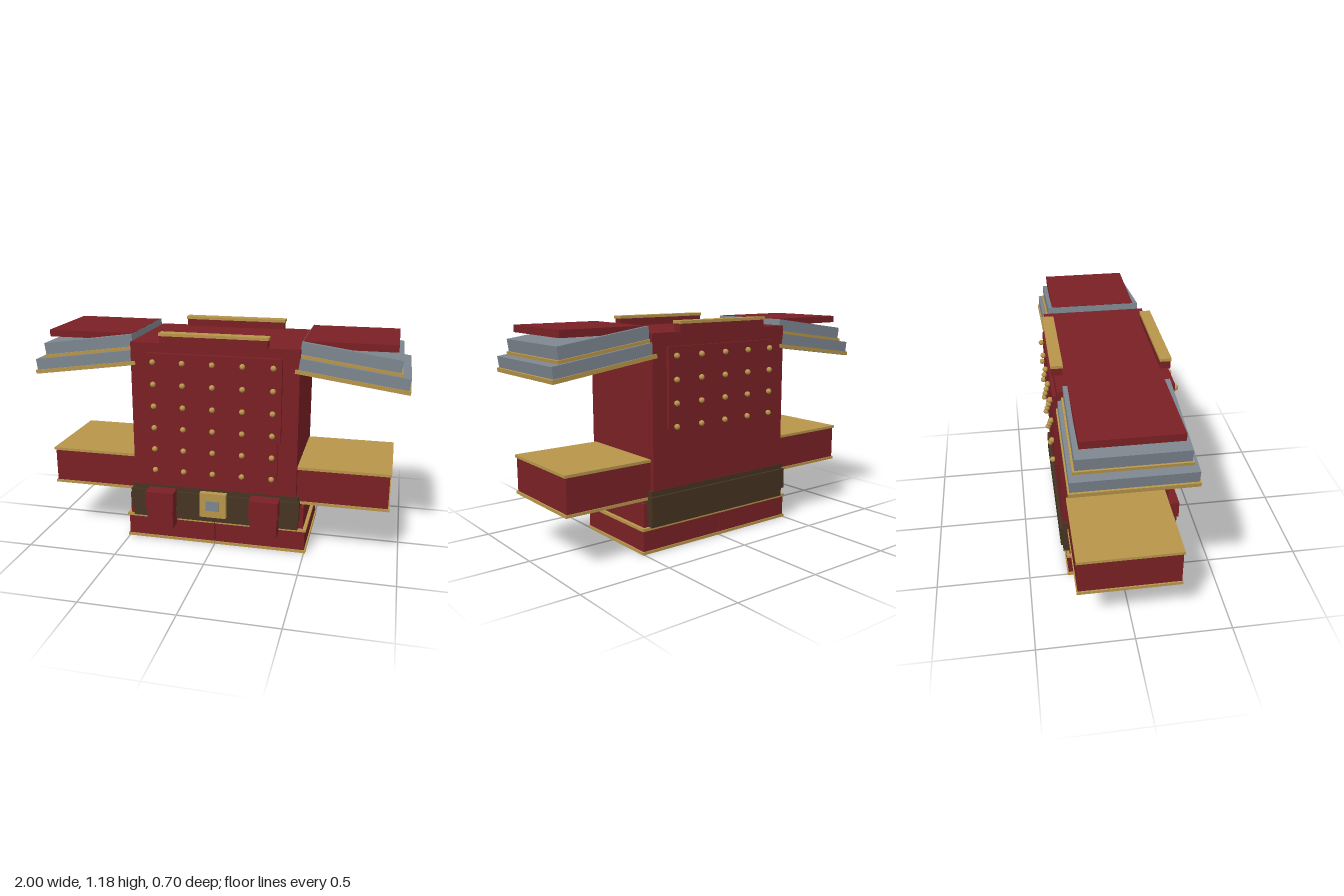
import * as THREE from 'three';

const mat = (name, color) => {
  const m = new THREE.MeshStandardMaterial({ color });
  m.name = name;
  return m;
};

export function createModel() {
  const red = mat('dark red', 0x7a2024);
  const gold = mat('gold', 0xb8964a);
  const grey = mat('steel grey', 0x7c858f);
  const brown = mat('belt brown', 0x463422);
  const model = new THREE.Group();
  model.name = 'armouredTorso';

  // Box given by its limits on each axis
  const box = (name, material, [x0, x1], [y0, y1], [z0, z1], parent = model) => {
    const mesh = new THREE.Mesh(new THREE.BoxGeometry(x1 - x0, y1 - y0, z1 - z0), material);
    mesh.position.set((x0 + x1) / 2, (y0 + y1) / 2, (z0 + z1) / 2);
    mesh.name = name;
    parent.add(mesh);
    return mesh;
  };
  // Limits along x for a part on side s (+1 left, -1 right)
  const span = (s, a, b) => (s > 0 ? [a, b] : [-b, -a]);

  // Torso with chest, belly and back plates
  box('torso', red, [-0.45, 0.45], [0.3, 1.13], [-0.305, 0.265]);
  box('chestPlate', red, [-0.363, 0.363], [0.633, 1.08], [0.26, 0.287]);
  box('bellyPlate', red, [-0.347, 0.347], [0.42, 0.64], [0.26, 0.283]);
  box('backPlate', red, [-0.363, 0.363], [0.645, 1.06], [-0.322, -0.3]);

  // Rows of round studs, front and back
  const studGeometry = new THREE.SphereGeometry(0.015, 16, 12);
  const studs = (name, rows, top, z) => {
    const group = new THREE.Group();
    group.name = name;
    for (let r = 0; r < rows; r++) {
      for (let c = -2; c <= 2; c++) {
        const stud = new THREE.Mesh(studGeometry, gold);
        stud.name = 'stud';
        stud.position.set(c * 0.16, top - r * 0.12, z);
        group.add(stud);
      }
    }
    model.add(group);
  };
  studs('frontStuds', 6, 1.035, 0.299);
  studs('backStuds', 4, 1.015, -0.333);

  // Collar ridges along the front and back of the neck
  for (const [name, z0, z1] of [['frontCollar', 0.226, 0.277], ['backCollar', -0.318, -0.264]]) {
    box(name, red, [-0.285, 0.285], [1.125, 1.17], [z0, z1]);
    box(name + 'Trim', gold, [-0.29, 0.29], [1.17, 1.185], [z0 - 0.004, z1 + 0.004]);
  }

  // Belt, raised band and square buckle
  box('belt', brown, [-0.463, 0.463], [0.14, 0.332], [-0.307, 0.267]);
  box('beltBand', brown, [-0.47, 0.47], [0.19, 0.305], [-0.32, 0.28]);
  box('buckle', gold, [-0.073, 0.073], [0.18, 0.32], [0.262, 0.3]);
  box('buckleCentre', grey, [-0.035, 0.035], [0.224, 0.28], [0.298, 0.312]);

  for (const s of [1, -1]) {
    const side = s > 0 ? 'left' : 'right';

    // Belt pouch with its flap
    box(side + 'Pouch', red, span(s, 0.215, 0.36), [0.11, 0.3], [0.265, 0.34]);
    box(side + 'PouchFlap', red, span(s, 0.209, 0.366), [0.225, 0.32], [0.262, 0.35]);

    // Skirt half: upper block, lower block, two gold bands
    box(side + 'Hip', red, span(s, 0.003, 0.49), [0.13, 0.264], [-0.276, 0.241]);
    box(side + 'Skirt', red, span(s, 0.003, 0.5), [0.012, 0.13], [-0.286, 0.247]);
    for (const y of [0, 0.125]) {
      box(side + 'SkirtTrim', gold, span(s, 0.003, 0.508), [y, y + 0.015], [-0.292, 0.253]);
    }

    // Arm block between gold plates
    box(side + 'Arm', red, span(s, 0.44, 0.932), [0.295, 0.488], [-0.278, 0.237]);
    for (const y of [0.285, 0.48]) {
      box(side + 'ArmTrim', gold, span(s, 0.44, 0.94), [y, y + 0.015], [-0.283, 0.242]);
    }

    // Sloping two-tier shoulder guard
    const shoulder = new THREE.Group();
    shoulder.name = side + 'Shoulder';
    shoulder.position.set(s * 0.7125, 0.978, 0);
    shoulder.rotation.z = -s * 0.138;
    model.add(shoulder);
    box('lowerTrim', gold, span(s, -0.29, 0.2905), [-0.01, 0.011], [-0.312, 0.271], shoulder);
    box('lowerTier', grey, span(s, -0.275, 0.2805), [-0.0115, 0.069], [-0.305, 0.265], shoulder);
    box('upperTrim', gold, span(s, -0.28, 0.235), [0.068, 0.085], [-0.287, 0.246], shoulder);
    box('upperTier', grey, span(s, -0.283, 0.226), [0.065, 0.148], [-0.277, 0.238], shoulder);

    // Level cap on top of the shoulder
    box(side + 'ShoulderCap', red, span(s, 0.455, 0.93), [1.128, 1.165], [-0.255, 0.211]);
  }
  return model;
}
